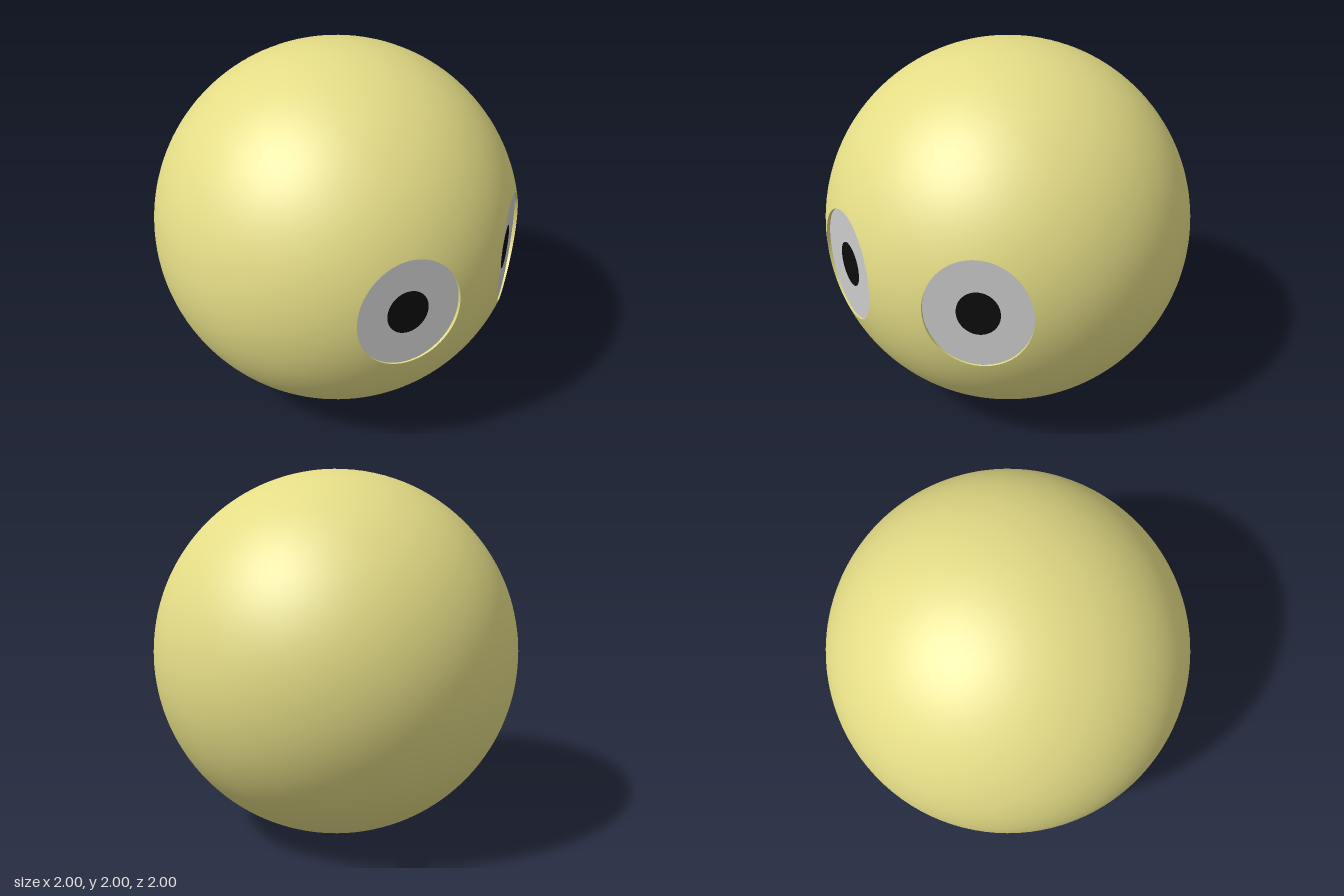
import * as THREE from 'three';

const TILT = THREE.MathUtils.degToRad(25); // eye direction, measured from +x
const EYE_W = 0.27, EYE_H = 0.3;           // half width and half height of an eye
const DEPTH = 0.944;                       // distance of the eye plane from the centre
const C = Math.cos(TILT), S = Math.sin(TILT);

const yellow = new THREE.MeshStandardMaterial({ color: 0xe4dc86 });
const white = new THREE.MeshStandardMaterial({ color: 0xcccccc });
const black = new THREE.MeshStandardMaterial({ color: 0x0c0c0c });

// Rings around an eye axis: point(theta, t) gives [along axis, outward, up]
function ringGrid(point, cols, rows, side) {
  const pos = [], index = [];
  for (let j = 0; j <= rows; j++) {
    for (let i = 0; i <= cols; i++) {
      const [n, u, y] = point((i / cols) * Math.PI * 2, j / rows);
      pos.push(n * C - u * S, y, side * (n * S + u * C));
    }
  }
  for (let j = 0; j < rows; j++) {
    for (let i = 0; i < cols; i++) {
      const a = j * (cols + 1) + i, b = a + 1, c = a + cols + 1, d = c + 1;
      if (side > 0) index.push(a, b, c, b, d, c);
      else index.push(a, c, b, b, c, d);
    }
  }
  const g = new THREE.BufferGeometry();
  g.setAttribute('position', new THREE.Float32BufferAttribute(pos, 3));
  g.setIndex(index);
  g.computeVertexNormals();
  return g;
}

// Radius of the elliptical eye opening in direction theta
const rim = (th) => 1 / Math.hypot(Math.cos(th) / EYE_W, Math.sin(th) / EYE_H);

// Half of the ball, from the eye opening out to the middle plane
function halfBall(side) {
  const g = ringGrid((th, t) => {
    const start = Math.asin(rim(th));
    const end = Math.atan2(S, -Math.cos(th) * C);
    const phi = start + (end - start) * t;
    const r = Math.sin(phi);
    return [Math.cos(phi), r * Math.cos(th), r * Math.sin(th)];
  }, 128, 40, side);
  g.setAttribute('normal', g.attributes.position.clone()); // unit sphere
  return g;
}

// Short wall between the eye plane and the ball surface
function socketWall(side) {
  return ringGrid((th, t) => {
    const r = rim(th);
    const top = Math.sqrt(1 - r * r);
    return [DEPTH + (top - DEPTH) * t, r * Math.cos(th), r * Math.sin(th)];
  }, 128, 1, side);
}

function add(parent, name, geometry, material) {
  const mesh = new THREE.Mesh(geometry, material);
  mesh.name = name;
  parent.add(mesh);
  return mesh;
}

// Flat oval facing along the eye axis
function oval(parent, name, scale, dist, material, side) {
  const g = new THREE.CircleGeometry(1, 128);
  g.scale(EYE_W * scale, EYE_H * scale, 1);
  const mesh = add(parent, name, g, material);
  mesh.position.set(dist * C, 0, side * dist * S);
  mesh.rotation.y = Math.PI / 2 - side * TILT;
}

export function createModel() {
  const model = new THREE.Group();
  model.name = 'ballWithEyes';
  for (const side of [1, -1]) {
    const half = new THREE.Group();
    half.name = side > 0 ? 'frontHalf' : 'backHalf';
    add(half, 'ballHalf', halfBall(side), yellow);
    add(half, 'eyeSocket', socketWall(side), yellow);
    oval(half, 'eyeWhite', 1, DEPTH, white, side);
    oval(half, 'pupil', 0.4, DEPTH + 0.002, black, side);
    model.add(half);
  }
  model.position.y = 1;
  return model;
}
